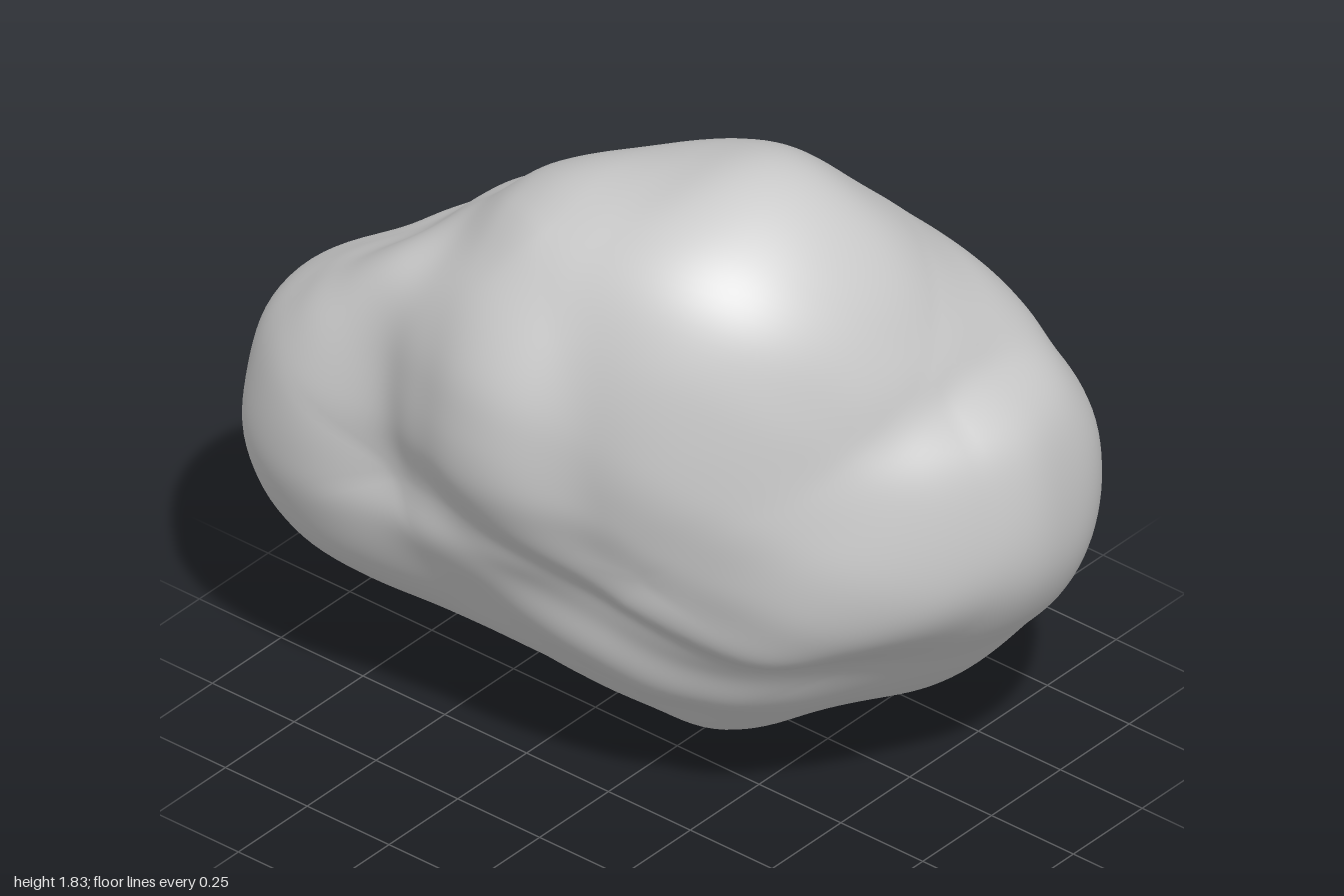
import * as THREE from 'three';
import { mergeVertices } from 'three/addons/utils/BufferGeometryUtils.js';

const MID = 0.915; // height of the rock's centre
const BINS = 90;

// Outlines of the rock (across, up) in the three principal planes
const frontXY = [-.13, 1.83, .02, 1.81, .15, 1.71, .27, 1.58, .39, 1.46, .5, 1.31, .56, 1.17, .64, 1.04,
  .67, .88, .73, .76, .735, .66, .72, .55, .735, .43, .69, .26, .6, .13, .48, .04, .28, .005, .08, .03,
  -.05, .13, -.22, .28, -.42, .46, -.53, .6, -.62, .8, -.64, .92, -.72, 1.07, -.74, 1.22, -.7, 1.43,
  -.6, 1.58, -.48, 1.72, -.33, 1.79];
const sideZY = [.37, 1.83, .15, 1.79, -.04, 1.75, -.2, 1.68, -.33, 1.56, -.47, 1.45, -.6, 1.34, -.78, 1.22,
  -.92, 1.09, -.98, .92, -1, .75, -.96, .56, -.87, .46, -.78, .38, -.73, .25, -.65, .15, -.5, .07,
  -.32, .01, -.1, .005, .12, .03, .3, .11, .5, .22, .65, .35, .78, .5, .92, .67, .99, .83, .99, 1.02,
  .94, 1.2, .82, 1.32, .76, 1.45, .66, 1.62, .52, 1.76];
const topXZ = [-.2, -1, -.05, -.97, .08, -.88, .22, -.77, .38, -.68, .48, -.57, .57, -.45, .67, -.3,
  .71, -.15, .735, .05, .715, .2, .735, .35, .67, .52, .66, .62, .58, .78, .45, .91, .3, .97, .15, 1,
  -.03, .96, -.2, .87, -.37, .72, -.5, .57, -.6, .4, -.65, .23, -.73, .07, -.735, -.06, -.68, -.22,
  -.61, -.4, -.635, -.6, -.59, -.78, -.49, -.9, -.35, -.98];

// Outlines in three tilted planes, measured from the centre
const tiltFront = [-.286, .873, -.11, .844, .066, .738, .24, .639, .388, .539, .505, .393, .581, .217,
  .634, .059, .663, -.105, .692, -.252, .733, -.369, .75, -.469, .722, -.603, .651, -.732, .546, -.838,
  .405, -.926, .241, -.967, .007, -.92, -.169, -.82, -.344, -.668, -.52, -.516, -.684, -.351,
  -.737, -.211, -.76, .012, -.772, .246, -.755, .451, -.708, .609, -.626, .732, -.491, .826];
const tiltBack = [.309, .978, .496, .937, .631, .832, .719, .656, .76, .451, .772, .305, .748, .117,
  .719, .012, .654, -.146, .584, -.193, .496, -.31, .42, -.469, .291, -.574, .086, -.732, -.119, -.855,
  -.265, -.931, -.383, -.949, -.529, -.914, -.664, -.82, -.746, -.674, -.746, -.516, -.716, -.34,
  -.652, -.135, -.547, .1, -.47, .246, -.383, .41, -.265, .48, -.178, .656, -.06, .785, .086, .902];
const tiltBelow = [-.185, .697, .073, .709, .337, .685, .454, .621, .571, .551, .776, .492, .911, .393,
  .975, .246, .993, .1, .952, -.064, .864, -.199, .718, -.305, .571, -.381, .442, -.463, .278, -.574,
  .103, -.691, -.044, -.767, -.161, -.785, -.395, -.75, -.6, -.721, -.747, -.621, -.864, -.486,
  -.94, -.34, -.961, -.193, -.923, -.018, -.823, .158, -.718, .305, -.542, .463, -.395, .568, -.278, .656];

// Hollows (negative) and swellings (positive): direction, amount, spread
const features = [
  [.4, .3, .03, -.04, .02], [.36, .5, .12, -.02, .02], [.55, -.1, -.4, -.035, .018],
  [.45, 0, -.68, .02, .03], [-.45, -.12, .5, -.03, .02], [-.22, -.3, .66, -.015, .02],
].map(([x, y, z, amount, spread]) => ({ dir: new THREE.Vector3(x, y, z).normalize(), amount, spread }));

// Furthest reach from the centre in each angular bin
function reach(points) {
  const table = new Array(BINS).fill(0);
  for (const [a, b] of points) {
    const i = Math.floor((Math.atan2(b, a) / (2 * Math.PI) + 1) * BINS) % BINS;
    table[i] = Math.max(table[i], Math.hypot(a, b));
  }
  return table;
}

// Smooth lookup between bin centres
function lookup(table, a, b) {
  const t = (Math.atan2(b, a) / (2 * Math.PI) + 1) * BINS - 0.5;
  const i = Math.floor(t), f = t - i;
  return table[i % BINS] * (1 - f) + table[(i + 1) % BINS] * f;
}

// A plane facing a given turn and tilt (degrees), with the reach of a closed curve through its outline
function plane(flat, dy, scale, turn, tilt) {
  const pts = [];
  for (let i = 0; i < flat.length; i += 2) {
    pts.push(new THREE.Vector3(flat[i], flat[i + 1] - dy, 0).multiplyScalar(scale));
  }
  const curve = new THREE.CatmullRomCurve3(pts, true);
  const t = THREE.MathUtils.degToRad(turn), e = THREE.MathUtils.degToRad(tilt);
  const across = new THREE.Vector3(Math.cos(t), 0, -Math.sin(t));
  const up = new THREE.Vector3(-Math.sin(t) * Math.sin(e), Math.cos(e), -Math.cos(t) * Math.sin(e));
  return {
    target: reach(curve.getPoints(2000).map((p) => [p.x, p.y])),
    project: (p) => [p.dot(across), p.dot(up)],
  };
}

const planes = [
  plane(frontXY, MID, 1, 0, 0),
  plane(sideZY, MID, 1, 270, 0),
  plane(topXZ, 0, 1, 0, -90),
  plane(tiltFront, 0, 0.967, 35, 25),
  plane(tiltBack, 0, 0.967, 215, 25),
  plane(tiltBelow, 0, 0.967, 145, -30),
];

// Average a value over neighbouring vertices, several times
function relax(values, index, rounds) {
  for (let n = 0; n < rounds; n++) {
    const sum = new Float64Array(values.length), count = new Float64Array(values.length);
    for (let t = 0; t < index.length; t += 3) {
      for (let k = 0; k < 3; k++) {
        const i = index[t + k];
        sum[i] += values[index[t + (k + 1) % 3]];
        count[i]++;
      }
    }
    values = sum.map((s, i) => 0.5 * values[i] + 0.5 * s / count[i]);
  }
  return values;
}

function rockGeometry() {
  let geo = new THREE.IcosahedronGeometry(1, 40);
  geo.deleteAttribute('uv');
  geo.deleteAttribute('normal');
  geo = mergeVertices(geo, 1e-5);
  const pos = geo.attributes.position;

  // Tilted ellipsoid with hollows and swellings
  const shape = new THREE.Matrix3().set(.548, -.21, .16, -.21, .837, .16, .16, .16, 1).invert();
  const verts = [];
  for (let i = 0; i < pos.count; i++) {
    const d = new THREE.Vector3().fromBufferAttribute(pos, i).normalize();
    const r = 1 / Math.sqrt(d.dot(d.clone().applyMatrix3(shape)));
    let s = 1;
    for (const f of features) s += f.amount * Math.exp((d.dot(f.dir) - 1) / f.spread);
    verts.push(d.multiplyScalar(r * s));
  }

  // Ease the surface out to the outlines, broadly at first and then more finely
  const passes = [[3, 100], [4, 80], [6, 60], [8, 45], [10, 32], [10, 24], [10, 18], [10, 14], [10, 10], [10, 10]];
  for (const [sharp, rounds] of passes) {
    const now = planes.map((pl) => reach(verts.map(pl.project)));
    const shifts = verts.map((v) => {
      let total = 0, shift = 0;
      planes.forEach((pl, k) => {
        const [a, b] = pl.project(v);
        const current = lookup(now[k], a, b);
        const w = Math.min(1, Math.hypot(a, b) / current) ** sharp;
        total += w;
        shift += w * (lookup(pl.target, a, b) / current - 1);
      });
      return shift / Math.max(1, total);
    });
    const eased = relax(Float64Array.from(shifts), geo.index.array, rounds);
    verts.forEach((v, i) => v.multiplyScalar(1 + 1.1 * eased[i]));
  }

  verts.forEach((v, i) => pos.setXYZ(i, v.x, v.y + MID, v.z));
  geo.computeVertexNormals();
  return geo;
}

export function createModel() {
  const group = new THREE.Group();
  group.name = 'rock';
  const rock = new THREE.Mesh(rockGeometry(), new THREE.MeshStandardMaterial({ color: 0xcccccc }));
  rock.name = 'rockBody';
  group.add(rock);
  return group;
}
